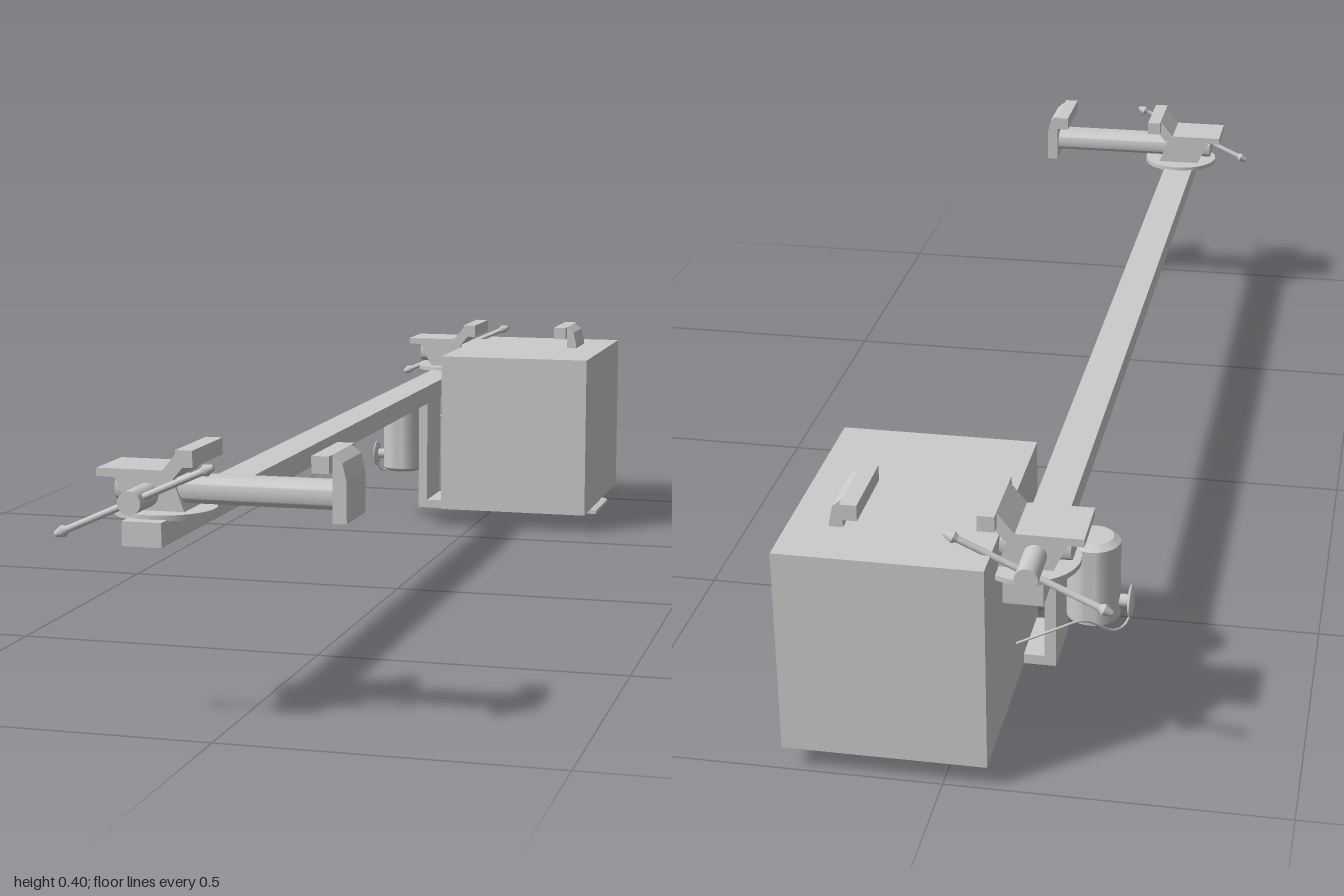
import * as THREE from 'three';
import { toCreasedNormals } from 'three/addons/utils/BufferGeometryUtils.js';

const material = new THREE.MeshStandardMaterial({ color: 0xcccccc });

function add(parent, name, geometry, x = 0, y = 0, z = 0) {
  const mesh = new THREE.Mesh(geometry, material);
  mesh.name = name;
  mesh.position.set(x, y, z);
  parent.add(mesh);
  return mesh;
}

// Box given by its limits on each axis
function block(parent, name, [x0, x1], [y0, y1], [z0, z1]) {
  return add(parent, name, new THREE.BoxGeometry(x1 - x0, y1 - y0, z1 - z0),
    (x0 + x1) / 2, (y0 + y1) / 2, (z0 + z1) / 2);
}

// Outline in x and y, extruded evenly about z = 0
function slab(parent, name, points, depth) {
  const shape = new THREE.Shape(points.map(([x, y]) => new THREE.Vector2(x, y)));
  const geometry = new THREE.ExtrudeGeometry(shape, { depth, bevelEnabled: false });
  return add(parent, name, geometry.translate(0, 0, -depth / 2));
}

function lathe(parent, name, points, segments = 32) {
  const geometry = new THREE.LatheGeometry(points.map(([r, y]) => new THREE.Vector2(r, y)), segments);
  return add(parent, name, toCreasedNormals(geometry, 0.6));
}

function wire(parent, name, points, radius = 0.002) {
  const curve = new THREE.CatmullRomCurve3(points.map(p => new THREE.Vector3(...p)));
  return add(parent, name, new THREE.TubeGeometry(curve, 32, radius, 8));
}

// Vise centred on z = 0; side is the direction of its handle
function makeVise(side) {
  const vise = new THREE.Group();
  vise.name = 'vise';

  add(vise, 'swivelBase', new THREE.CylinderGeometry(0.073, 0.073, 0.008, 40), -0.103, 0.302, 0);
  slab(vise, 'viseBody', [[-0.142, 0.305], [-0.062, 0.305], [-0.08, 0.355], [-0.167, 0.355]], 0.075);

  // Fixed jaw with its raised lip
  slab(vise, 'fixedJaw', [[-0.188, 0.353], [-0.075, 0.353], [-0.058, 0.373], [-0.045, 0.373],
    [-0.045, 0.397], [-0.064, 0.397], [-0.09, 0.365], [-0.188, 0.365]], 0.095);
  block(vise, 'fixedJawPlate', [-0.065, -0.04], [0.373, 0.397], [-0.063, 0.063]);

  // Rounded slide bar
  const section = new THREE.Shape();
  section.moveTo(-0.014, -0.019);
  section.lineTo(0.014, -0.019);
  section.absarc(0.014, 0, 0.019, -Math.PI / 2, Math.PI / 2);
  section.lineTo(-0.014, 0.019);
  section.absarc(-0.014, 0, 0.019, Math.PI / 2, Math.PI * 1.5);
  const bar = new THREE.ExtrudeGeometry(section, { depth: 0.322, bevelEnabled: false, curveSegments: 12 });
  add(vise, 'slideBar', toCreasedNormals(bar, 0.6), -0.167, 0.334, 0).rotation.y = Math.PI / 2;

  // Moving jaw
  slab(vise, 'movingJaw', [[0.155, 0.302], [0.175, 0.302], [0.175, 0.36], [0.169, 0.386],
    [0.155, 0.397], [0.14, 0.397], [0.14, 0.373], [0.155, 0.373]], 0.095);
  block(vise, 'movingJawPlate', [0.13, 0.155], [0.373, 0.397], [-0.063, 0.063]);

  // Screw boss and tommy bar with tapered knobs
  const screw = add(vise, 'screwBoss', new THREE.CylinderGeometry(0.017, 0.017, 0.085, 24),
    -0.117, 0.328, side * 0.0645);
  screw.rotation.x = Math.PI / 2;
  const handle = lathe(vise, 'viseHandle', [[0, -0.129], [0.004, -0.128], [0.009, -0.115],
    [0.005, -0.108], [0.005, 0.108], [0.009, 0.115], [0.004, 0.128], [0, 0.129]], 16);
  handle.position.set(-0.117, 0.328, side * 0.088);
  handle.rotation.z = -Math.PI / 2 + 0.42;
  return vise;
}

export function createModel() {
  const model = new THREE.Group();
  model.name = 'beamWithVises';

  // Main beam and equipment box
  block(model, 'beam', [-0.134, -0.076], [0.265, 0.3], [-0.93, 0.98]);
  block(model, 'equipmentBox', [-0.065, 0.235], [0.036, 0.353], [-1, -0.6]);

  // A vise at each end, handles facing outward
  for (const [side, z] of [[1, 0.888], [-1, -0.863]]) {
    const vise = makeVise(side);
    vise.position.z = z;
    model.add(vise);
  }

  // L-shaped bracket between beam and box
  block(model, 'bracketPost', [-0.115, -0.097], [0.036, 0.27], [-0.72, -0.61]);
  block(model, 'bracketFoot', [-0.097, -0.065], [0.036, 0.052], [-0.72, -0.61]);

  // Tank with bevelled ends
  const tank = new THREE.Group();
  tank.name = 'tank';
  tank.position.set(-0.165, 0, -0.675);
  model.add(tank);
  lathe(tank, 'tankShell', [[0, 0.103], [0.032, 0.103], [0.041, 0.11], [0.041, 0.235],
    [0.03, 0.243], [0, 0.243]]);
  const stem = add(tank, 'valveStem', new THREE.CylinderGeometry(0.01, 0.01, 0.03, 16), -0.046, 0.135, 0);
  stem.rotation.z = Math.PI / 2;
  const wheel = add(tank, 'valveWheel', new THREE.SphereGeometry(0.026, 24, 12), -0.057, 0.135, 0);
  wheel.scale.x = 0.19;

  // Pipes joining the tank to the box
  wire(model, 'lowerPipe', [[-0.222, 0.112, -0.675], [-0.214, 0.098, -0.685], [-0.2, 0.102, -0.71],
    [-0.16, 0.135, -0.745], [-0.12, 0.13, -0.77], [-0.063, 0.106, -0.78]]);
  wire(model, 'upperPipe', [[-0.13, 0.175, -0.69], [-0.112, 0.197, -0.724],
    [-0.09, 0.215, -0.73], [-0.063, 0.22, -0.73]]);

  // Plate, mount and cable hanging under the box
  slab(model, 'underPlate', [[0.037, 0.014], [0.235, 0.014], [0.235, 0.02], [0.225, 0.023],
    [0.047, 0.023], [0.037, 0.02]], 0.15).position.z = -0.815;
  block(model, 'plateMount', [0.127, 0.143], [0.022, 0.037], [-0.87, -0.75]);
  block(model, 'cableClip', [0.125, 0.165], [0.029, 0.037], [-0.93, -0.9]);
  wire(model, 'underCable', [[0.06, 0.037, -0.72], [0.085, 0.014, -0.73], [0.11, 0.004, -0.82],
    [0.14, 0.009, -0.92], [0.155, 0.031, -0.935]]);

  return model;
}
